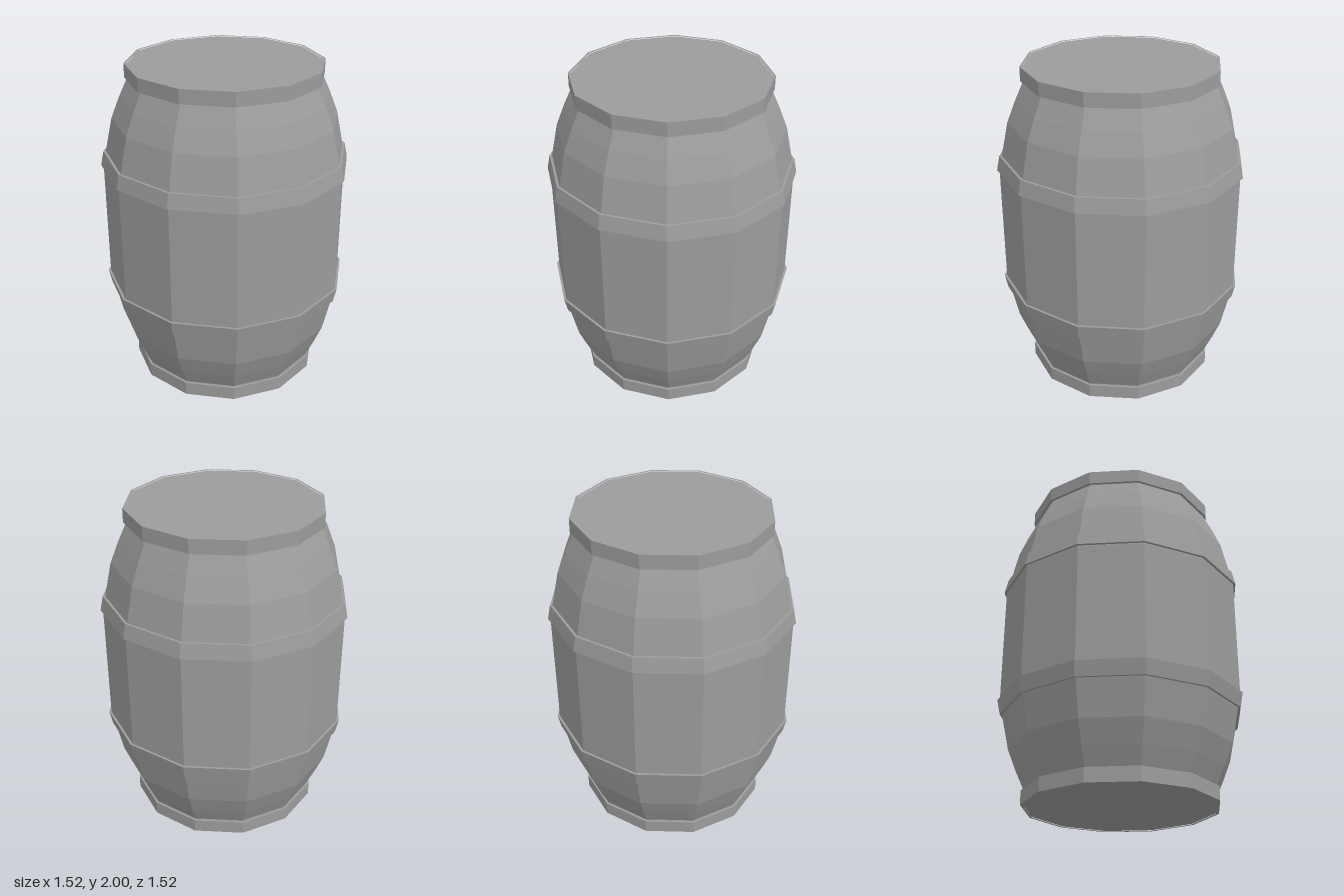
import * as THREE from 'three';

const SIDES = 12;
const grey = new THREE.MeshStandardMaterial({ color: 0x9c9c9c });
grey.name = 'grey';

// Twelve-sided faceted turning; the profile runs [radius, height] from bottom to top
function turned(name, profile) {
  const points = profile.map(([r, y]) => new THREE.Vector2(r, y));
  const geometry = new THREE.LatheGeometry(points, SIDES).toNonIndexed();
  geometry.computeVertexNormals();
  const mesh = new THREE.Mesh(geometry, grey);
  mesh.name = name;
  return mesh;
}

// Hoop with flat ledges, reaching inward to the radius `inner`
function hoop(name, y0, r0, y1, r1, inner) {
  return turned(name, [[inner, y0], [r0, y0], [r1, y1], [inner, y1]]);
}

export function createModel() {
  const barrel = new THREE.Group();
  barrel.name = 'barrel';

  // Bulging staves with both lids, the lower half mirrored to the upper
  const lower = [[0, 0.004], [0.577, 0.004], [0.577, 0.09], [0.628, 0.2], [0.68, 0.33], [0.727, 0.545], [0.745, 0.635]];
  const upper = lower.map(([r, y]) => [r, 2 - y]).reverse();
  barrel.add(turned('body', [...lower, ...upper]));

  // End rims
  barrel.add(hoop('bottomRim', 0, 0.592, 0.085, 0.592, 0.575));
  barrel.add(hoop('topRim', 1.915, 0.592, 2, 0.592, 0.575));

  // Tapered hoops around the belly
  barrel.add(hoop('lowerHoop', 0.545, 0.741, 0.635, 0.76, 0.72));
  barrel.add(hoop('upperHoop', 1.37, 0.76, 1.46, 0.741, 0.72));

  return barrel;
}
